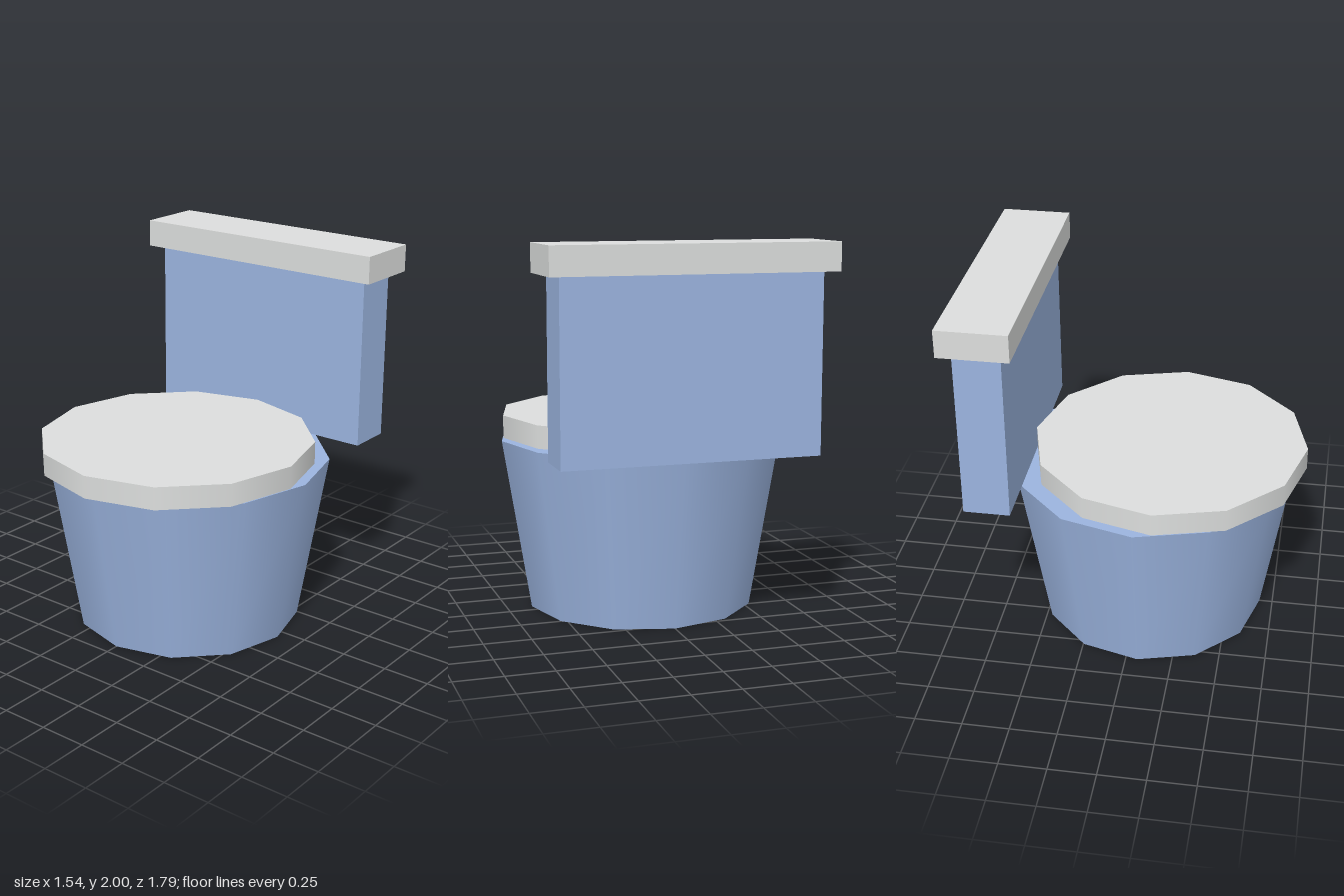
import * as THREE from 'three';

const paint = (name, color) => {
  const m = new THREE.MeshStandardMaterial({ color });
  m.name = name;
  return m;
};

export function createModel() {
  const group = new THREE.Group();
  group.name = 'toilet';
  const blue = paint('blue ceramic', 0x9bb4df);
  const grey = paint('light grey', 0xdcdedd);
  const teal = paint('grey teal', 0x95a8a6);

  // Places a geometry so that it spans y0 to y1 at depth z
  const add = (name, geometry, material, y0, y1, z) => {
    const mesh = new THREE.Mesh(geometry, material);
    mesh.name = name;
    mesh.position.set(0, (y0 + y1) / 2, z);
    group.add(mesh);
  };
  const drum = (name, material, rTop, rBottom, y0, y1, z) =>
    add(name, new THREE.CylinderGeometry(rTop, rBottom, y1 - y0, 12), material, y0, y1, z);
  const block = (name, material, width, y0, y1, zBack, zFront) =>
    add(name, new THREE.BoxGeometry(width, y1 - y0, zFront - zBack), material, y0, y1, (zBack + zFront) / 2);

  // Tapered bowl with the seat shifted forward on top
  drum('bowl', blue, 0.768, 0.615, 0, 0.925, 0.062);
  drum('seat', grey, 0.739, 0.739, 0.926, 1.048, 0.154);
  // Water disc set just under the seat top
  drum('water', teal, 0.44, 0.44, 1.036, 1.046, 0.154);

  // Cistern behind the seat, with an overhanging lid
  block('tank', blue, 1.352, 0.925, 1.853, -0.83, -0.585);
  block('tankLid', grey, 1.478, 1.853, 2, -0.893, -0.525);

  return group;
}
